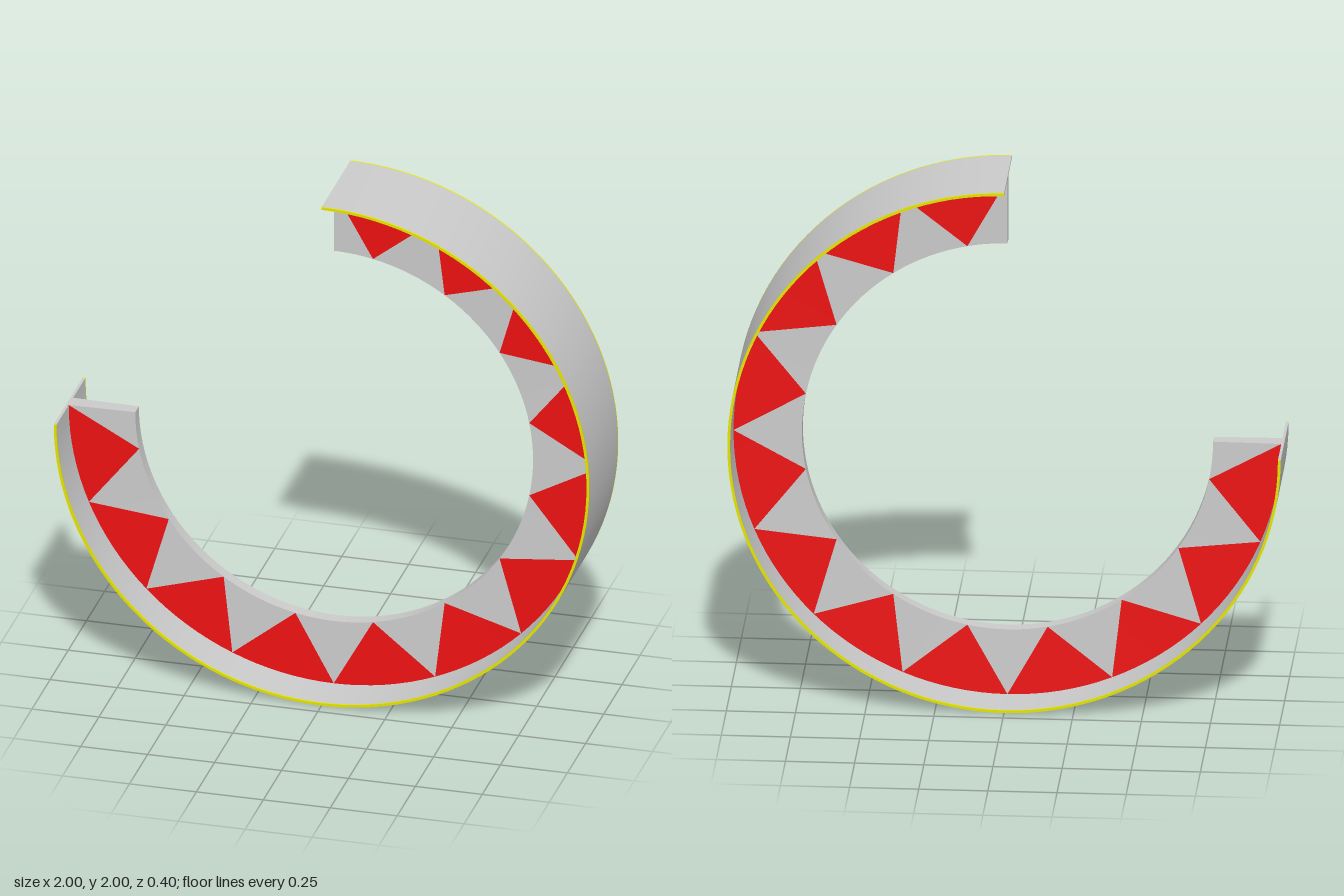
import * as THREE from 'three';

const ARC = Math.PI * 1.5;      // three quarters of a circle, clockwise from the top
const TEETH = 12;
const STEPS = 8;                // arc steps per tooth
const PITCH = ARC / TEETH;
const R_OUT = 1, R_BAND = 0.99, R_IN = 0.743;
const Z_BAND = 0.2, RIM = 0.006;
const Z_ROOT = 0.031, Z_TIP = 0.025;   // web half thickness at the band and at its inner edge

const grey = new THREE.MeshStandardMaterial({ color: 0xcccccc });
const red = new THREE.MeshStandardMaterial({ color: 0xee1111 });
const yellow = new THREE.MeshStandardMaterial({ color: 0xe6e600 });

const at = (r, z, a) => [r * Math.sin(a), 1 + r * Math.cos(a), z];

function makeMesh(name, positions, indices, material) {
  const g = new THREE.BufferGeometry();
  g.setAttribute('position', new THREE.Float32BufferAttribute(positions, 3));
  g.setIndex(indices);
  g.computeVertexNormals();
  const mesh = new THREE.Mesh(g, material);
  mesh.name = name;
  return mesh;
}

// Sweep a four-sided [r, z] section round the arc, sharp along its edges, with end caps
function sweep(name, section, material, edges = [0, 1, 2, 3]) {
  const pos = [], idx = [], n = TEETH * STEPS;
  for (const e of edges) {
    const p = section[e], q = section[(e + 1) % 4], base = pos.length / 3;
    for (let i = 0; i <= n; i++) {
      const a = (ARC * i) / n;
      pos.push(...at(...p, a), ...at(...q, a));
      if (i < n) {
        const k = base + i * 2;
        idx.push(k, k + 1, k + 3, k, k + 3, k + 2);
      }
    }
  }
  for (const a of [0, ARC]) {
    const k = pos.length / 3;
    section.forEach((s) => pos.push(...at(...s, a)));
    if (a === 0) idx.push(k, k + 2, k + 1, k, k + 3, k + 2);
    else idx.push(k, k + 1, k + 2, k, k + 2, k + 3);
  }
  return makeMesh(name, pos, idx, material);
}

const rect = (r0, r1, z0, z1) => [[r0, z0], [r1, z0], [r1, z1], [r0, z1]];

// Row of triangles on one web face: each a fan from a point to an arc on the other edge
function teeth(name, side, outward, material) {
  const pos = [], idx = [];
  const rPoint = outward ? R_BAND : R_IN, rArc = outward ? R_IN : R_BAND;
  const zPoint = side * (outward ? Z_ROOT : Z_TIP), zArc = side * (outward ? Z_TIP : Z_ROOT);
  const count = outward ? TEETH + 1 : TEETH;
  for (let t = 0; t < count; t++) {
    const mid = (outward ? t : t + 0.5) * PITCH;
    // teeth at the two ends are cut in half
    const a0 = Math.max(0, mid - PITCH / 2), a1 = Math.min(ARC, mid + PITCH / 2);
    const k = pos.length / 3;
    pos.push(...at(rPoint, zPoint, mid));
    for (let i = 0; i <= STEPS; i++) {
      pos.push(...at(rArc, zArc, a0 + ((a1 - a0) * i) / STEPS));
      if (i === STEPS) continue;
      if (outward === (side > 0)) idx.push(k, k + 1 + i, k + 2 + i);
      else idx.push(k, k + 2 + i, k + 1 + i);
    }
  }
  return makeMesh(name, pos, idx, material);
}

export function createModel() {
  const model = new THREE.Group();
  model.name = 'openRing';

  // Wide thin outer band with a coloured rim along each edge
  const zr = Z_BAND - RIM;
  model.add(sweep('outerBand', rect(R_BAND, R_OUT, -zr, zr), grey, [1, 3]));
  model.add(sweep('frontRim', rect(R_BAND, R_OUT, zr, Z_BAND), yellow));
  model.add(sweep('backRim', rect(R_BAND, R_OUT, -Z_BAND, -zr), yellow));

  // Web standing inward from the middle of the band: inner edge and ends
  const web = new THREE.Group();
  web.name = 'web';
  const section = [[R_IN, -Z_TIP], [R_BAND, -Z_ROOT], [R_BAND, Z_ROOT], [R_IN, Z_TIP]];
  web.add(sweep('webInnerEdge', section, grey, [3]));

  // Alternating triangles on both web faces
  for (const [label, side] of [['front', 1], ['back', -1]]) {
    web.add(teeth(label + 'RedTriangles', side, false, red));
    web.add(teeth(label + 'GreyTriangles', side, true, grey));
  }
  model.add(web);
  return model;
}
